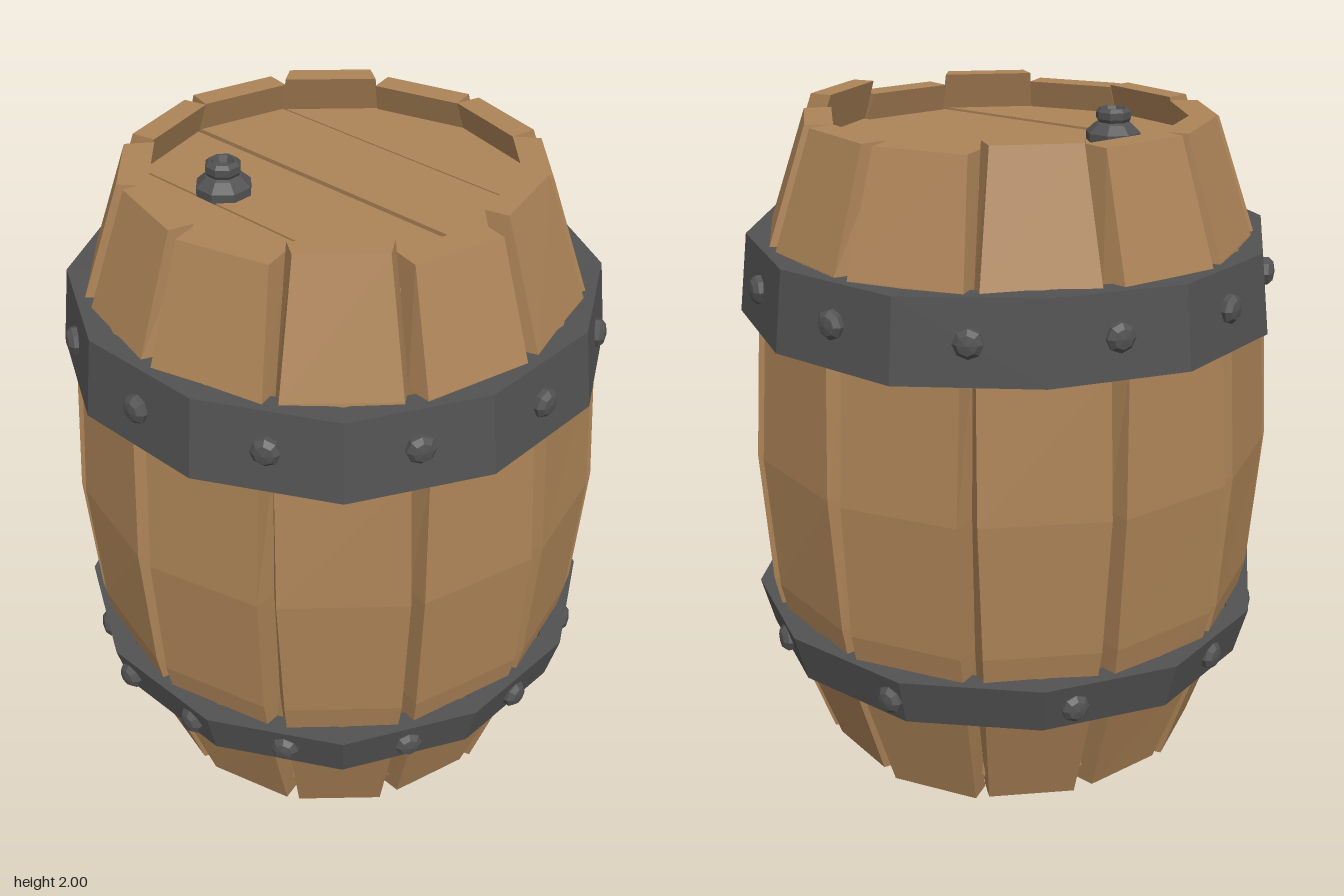
import * as THREE from 'three';

const wood = new THREE.MeshStandardMaterial({ color: 0xac8357 });
wood.name = 'oak wood';
const iron = new THREE.MeshStandardMaterial({ color: 0x525252 });
iron.name = 'dark iron';

const STEP = Math.PI / 6; // twelve staves, twelve hoop sides
const wobble = (n) => Math.sin(n * 12.9898 + 4.1); // repeatable irregularity, -1..1

// Faceted mesh: every triangle gets its own normal
function faceted(name, geometry, material) {
  const flat = geometry.index ? geometry.toNonIndexed() : geometry;
  flat.computeVertexNormals();
  const mesh = new THREE.Mesh(flat, material);
  mesh.name = name;
  return mesh;
}

function lathe(points, sides, start = 0) {
  return new THREE.LatheGeometry(points.map(([r, y]) => new THREE.Vector2(r, y)), sides, start);
}

// Barrel bulge as [height, corner radius]
const bulge = [[0, 0.595], [0.35, 0.715], [0.58, 0.764], [1, 0.792], [1.42, 0.764], [1.63, 0.72], [2, 0.592]];
const staveTops = [2, 1.966, 1.966, 1.965, 1.988, 1.972, 1.97, 1.962, 1.972, 1.965, 1.992, 1.96];

// One stave: four-cornered sections, narrower outside so neighbours meet in a V groove
function staveGeometry(k) {
  const pos = [], idx = [];
  const middle = (k + 0.5) * STEP;
  bulge.forEach(([h, radius], i) => {
    const last = i === bulge.length - 1;
    const y = last ? staveTops[k] : i === 0 ? (k % 3) * 0.008 : h;
    const r = radius + (last ? (2 - y) * 0.33 : 0) + 0.004 * wobble(k * 7 + i);
    const corner = (side, rad, gap) => {
      const a = middle + side * (STEP / 2 - gap / rad);
      pos.push(rad * Math.sin(a), y, rad * Math.cos(a));
    };
    const gap = (side) => 0.025 + 0.007 * wobble(k * 5 + i * 3 + side);
    corner(-1, r, gap(-1));
    corner(1, r, gap(1));
    corner(1, radius - 0.065, 0);
    corner(-1, radius - 0.065, 0);
    if (i > 0) {
      for (let j = 0; j < 4; j++) {
        const a = (i - 1) * 4 + j, b = (i - 1) * 4 + (j + 1) % 4;
        idx.push(a, b, b + 4, a, b + 4, a + 4);
      }
    }
  });
  const t = (bulge.length - 1) * 4;
  idx.push(0, 2, 1, 0, 3, 2, t, t + 1, t + 2, t, t + 2, t + 3);
  const g = new THREE.BufferGeometry();
  g.setAttribute('position', new THREE.Float32BufferAttribute(pos, 3));
  g.setIndex(idx);
  return g;
}

// Round head made of four planks over a backing disc
function makeHead(name) {
  const head = new THREE.Group();
  head.name = name;
  const R = 0.57, seams = [-R, -0.295, 0, 0.285, R];
  for (let i = 0; i < 4; i++) {
    const x0 = seams[i] + (i > 0 ? 0.006 : 0), x1 = seams[i + 1] - (i < 3 ? 0.006 : 0);
    const a0 = Math.acos(x0 / R), a1 = Math.acos(x1 / R);
    const shape = new THREE.Shape();
    shape.absarc(0, 0, R, a1, a0, false);
    shape.absarc(0, 0, R, -a0, -a1, false);
    const g = new THREE.ExtrudeGeometry(shape, { depth: 0.04, bevelEnabled: false, curveSegments: 6 });
    g.rotateX(-Math.PI / 2);
    const plank = faceted('headPlank', g, wood);
    plank.position.y = -0.04 - (i % 2) * 0.004;
    head.add(plank);
  }
  const backing = faceted('headBacking', new THREE.CylinderGeometry(R, R, 0.03, 24), wood);
  backing.position.y = -0.04;
  head.add(backing);
  return head;
}

// Twelve-sided iron band with a slightly uneven edge, and its rivets
function makeHoop(name, y0, y1, r0, r1, rivetY, rivetAngles) {
  const hoop = new THREE.Group();
  hoop.name = name;
  const t = 0.07;
  const g = lathe([[r0 - t, y0], [r0, y0], [r1, y1], [r1 - t, y1], [r1 - t, y1], [r0 - t, y0]], 12, STEP / 2);
  const p = g.attributes.position;
  for (let i = 0; i < p.count; i++) {
    const a = Math.atan2(p.getX(i), p.getZ(i));
    p.setY(i, p.getY(i) + 0.006 * Math.sin(3 * a + y0 * 5) + 0.003 * Math.cos(5 * a));
  }
  hoop.add(faceted('band', g, iron));

  const apothem = (r0 + (r1 - r0) * (rivetY - y0) / (y1 - y0)) * Math.cos(STEP / 2);
  for (const degrees of rivetAngles) {
    const a = THREE.MathUtils.degToRad(degrees);
    const off = a - Math.round(a / STEP) * STEP;
    const d = apothem / Math.cos(off);
    const rg = lathe([[0.042, -0.015], [0.042, 0.012], [0.028, 0.026], [0, 0.031]], 8);
    rg.rotateX(Math.PI / 2);
    const rivet = faceted('rivet', rg, iron);
    rivet.position.set(d * Math.sin(a), rivetY, d * Math.cos(a));
    rivet.rotation.y = a - off;
    hoop.add(rivet);
  }
  return hoop;
}

export function createModel() {
  const barrel = new THREE.Group();
  barrel.name = 'barrel';

  // Staves
  const staves = new THREE.Group();
  staves.name = 'staves';
  for (let k = 0; k < 12; k++) staves.add(faceted('stave', staveGeometry(k), wood));
  barrel.add(staves);

  // Recessed heads
  const lid = makeHead('topHead');
  lid.position.y = 1.88;
  const base = makeHead('bottomHead');
  base.rotation.z = Math.PI;
  base.position.y = 0.07;
  barrel.add(lid, base);

  // Hoops
  const even = Array.from({ length: 12 }, (_, i) => i * 30);
  const uneven = [0, 30, 65, 102, 142, 181, 210, 239, 258, 279, 302, 330];
  barrel.add(makeHoop('upperHoop', 1.395, 1.63, 0.803, 0.775, 1.515, even));
  barrel.add(makeHoop('lowerHoop', 0.345, 0.495, 0.76, 0.8, 0.42, uneven));

  // Bung with a hollow top
  const bung = faceted('bung', lathe([[0.082, -0.01], [0.082, 0.02], [0.055, 0.045], [0.046, 0.05],
    [0.052, 0.06], [0.052, 0.08], [0.042, 0.09], [0.034, 0.09], [0.026, 0.07], [0, 0.07]], 8, Math.PI / 8), iron);
  bung.position.set(-0.22, 1.88, -0.22);
  barrel.add(bung);

  return barrel;
}
